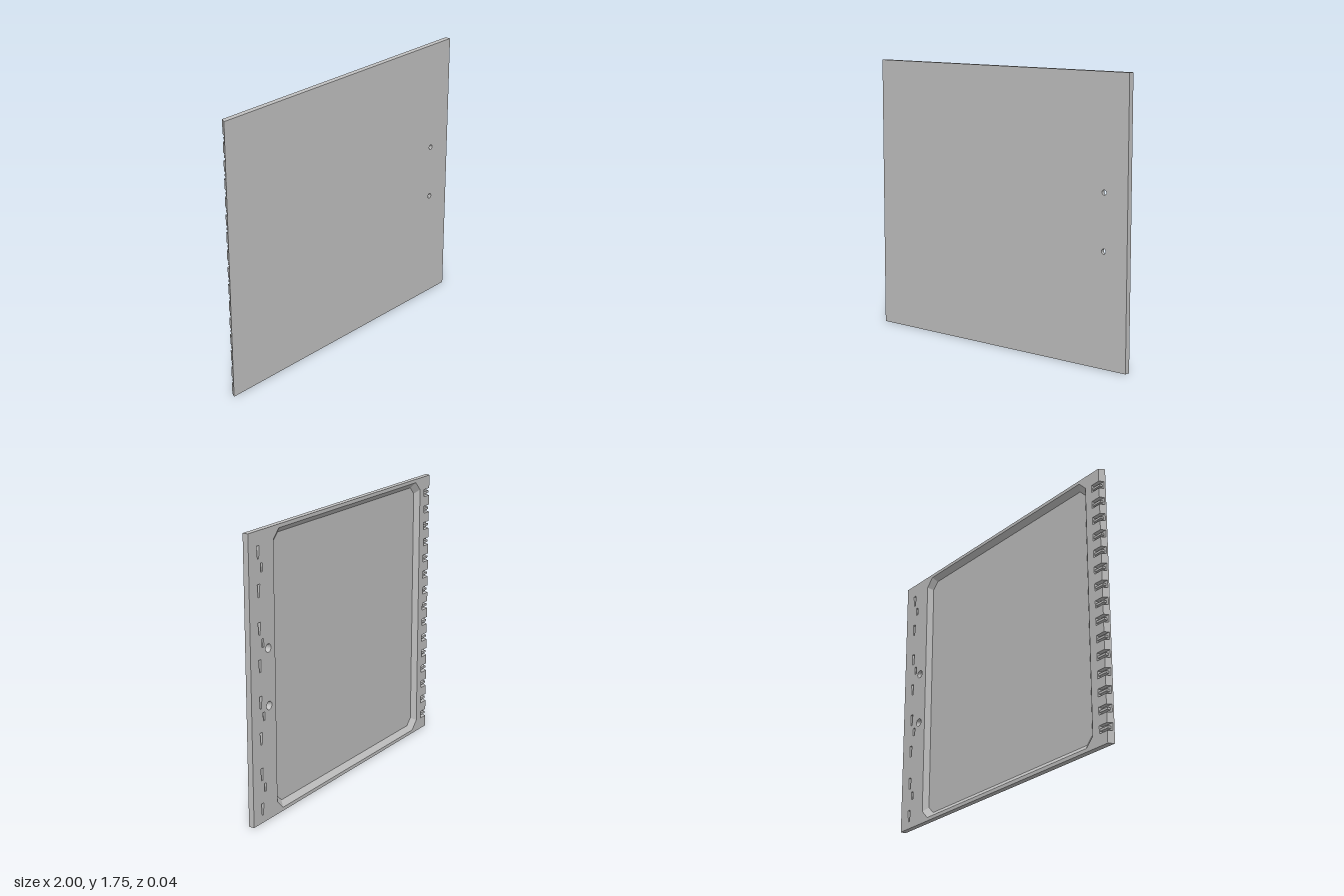
import * as THREE from 'three';

const H = 1.755, BACK = -0.018, FLOOR = 0.01, FRONT = 0.018;
const HOLES = [[0.83, 1.055], [0.83, 0.707]];

const toPath = (pts) => new THREE.Path(pts.map(([x, y]) => new THREE.Vector2(x, y)));

// Rectangle with cut corners, anticlockwise
function cutRect(x0, x1, y0, y1, c) {
  return [[x0 + c, y0], [x1 - c, y0], [x1, y0 + c], [x1, y1 - c],
    [x1 - c, y1], [x0 + c, y1], [x0, y1 - c], [x0, y0 + c]];
}

function ring(cx, cy, r, n = 20) {
  return Array.from({ length: n }, (_, i) => {
    const a = (i / n) * Math.PI * 2;
    return [cx + r * Math.cos(a), cy + r * Math.sin(a)];
  });
}

// Extrude between two depths, then slant the x = -1 edge inwards towards the back
function slab(pts, holes, z0, z1) {
  const shape = new THREE.Shape(pts.map(([x, y]) => new THREE.Vector2(x, y)));
  shape.holes = holes.map(toPath);
  const g = new THREE.ExtrudeGeometry(shape, { depth: z1 - z0, bevelEnabled: false });
  g.translate(0, 0, z0);
  const p = g.attributes.position;
  for (let i = 0; i < p.count; i++) {
    if (p.getX(i) < -0.99) p.setX(i, -1 + 0.02 * (FRONT - p.getZ(i)) / (FRONT - BACK));
  }
  g.computeVertexNormals();
  return g;
}

// Sloped wall from a contour at the back to a smaller one at the floor
function slopedWall(outer, inner) {
  const v = [];
  outer.forEach((a, i) => {
    const j = (i + 1) % outer.length, b = outer[j], c = inner[j], d = inner[i];
    v.push(...a, BACK, ...c, FLOOR, ...b, BACK, ...a, BACK, ...d, FLOOR, ...c, FLOOR);
  });
  const g = new THREE.BufferGeometry();
  g.setAttribute('position', new THREE.Float32BufferAttribute(v, 3));
  g.computeVertexNormals();
  return g;
}

export function createModel() {
  const group = new THREE.Group();
  const grey = new THREE.MeshStandardMaterial({ color: 0xc0c0c0, side: THREE.DoubleSide });
  grey.name = 'light grey';
  const add = (name, geometry) => {
    const m = new THREE.Mesh(geometry, grey);
    m.name = name;
    group.add(m);
    return m;
  };

  // Front skin with two through holes
  add('frontSkin', slab([[-1, 0], [1, 0], [1, H], [-1, H]],
    HOLES.map(([x, y]) => ring(x, y, 0.016)), FLOOR, FRONT));

  // Body outline with a row of notches along the slanted edge
  const outline = [[-1, 0], [1, 0], [1, H], [-1, H]];
  const notchY = Array.from({ length: 15 }, (_, i) => 1.645 - i * 0.1105);
  for (const y of notchY) {
    outline.push([-1, y + 0.024], [-0.915, y + 0.024], [-0.915, y - 0.024], [-1, y - 0.024]);
  }

  // Tapered pockets and small pockets near the other edge
  const pockets = [];
  for (let i = 0; i < 8; i++) {
    const y = 1.632 - i * 0.221;
    pockets.push([[0.906, y - 0.038], [0.918, y - 0.038], [0.924, y + 0.038], [0.9, y + 0.038]]);
  }
  for (let i = 0; i < 4; i++) pockets.push(cutRect(0.873, 0.891, 1.515 - i * 0.442, 1.567 - i * 0.442, 0.002));

  const rim = cutRect(-0.86, 0.765, 0.022, H - 0.022, 0.055);
  const base = cutRect(-0.827, 0.732, 0.055, H - 0.055, 0.045);
  const sinks = HOLES.map(([x, y]) => ring(x, y, 0.026));
  add('backFrame', slab(outline, [rim, ...sinks, ...pockets], BACK, FLOOR));

  // Sloped sides of the large recess and the countersinks
  add('recessWall', slopedWall(rim, base));
  HOLES.forEach(([x, y], i) => add('countersink', slopedWall(sinks[i], ring(x, y, 0.016))));

  // Slim bar in each notch
  for (const y of notchY) {
    const bar = add('notchBar', new THREE.BoxGeometry(0.066, 0.014, 0.022));
    bar.position.set(-0.948, y, -0.001);
  }

  // Shallow steps in the small pockets
  for (let i = 0; i < 4; i++) {
    const step = add('pocketStep', new THREE.BoxGeometry(0.018, 0.024, 0.018));
    step.position.set(0.882, 1.529 - i * 0.442, 0.001);
  }
  return group;
}
